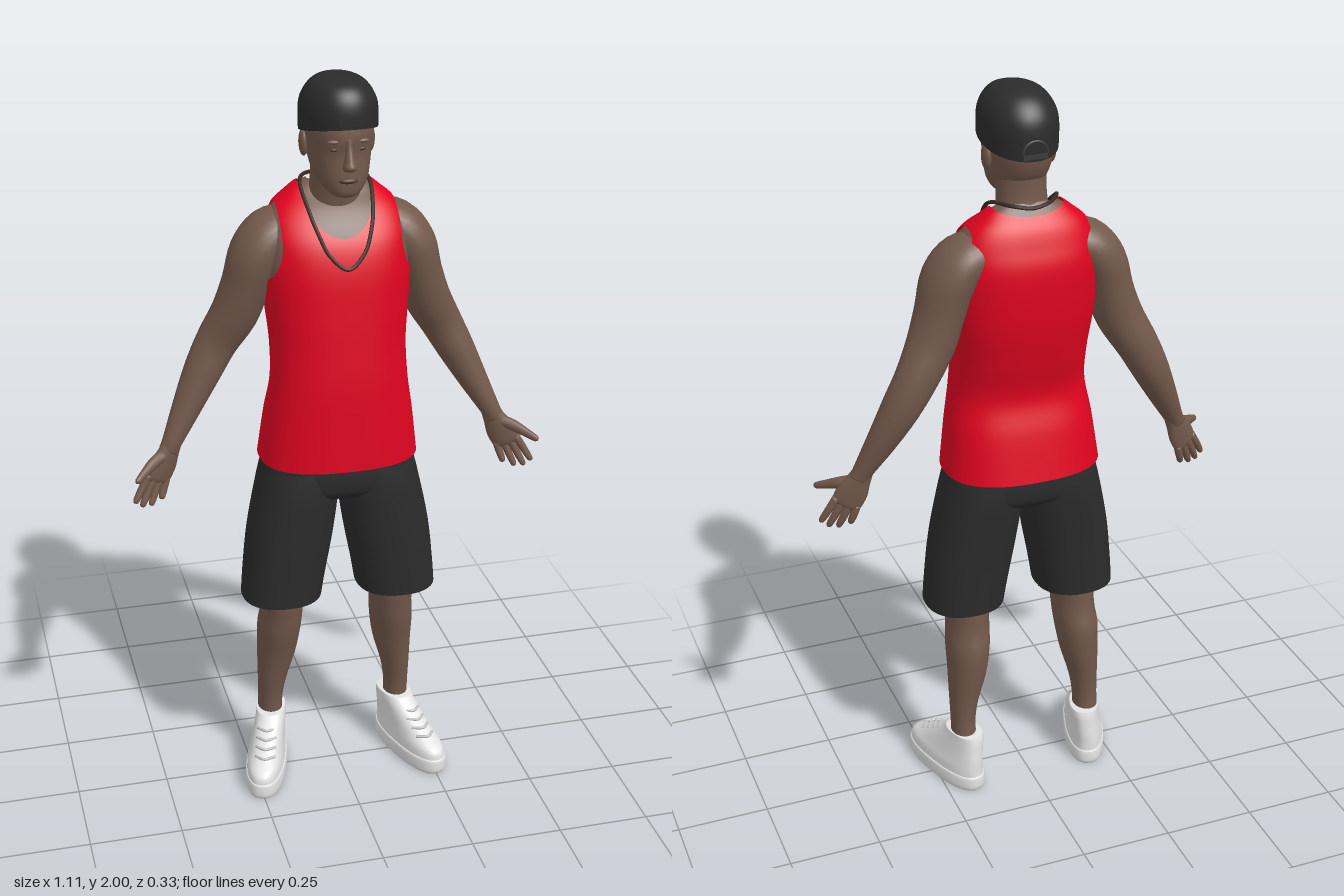
import * as THREE from 'three';

const mat = (name, color, side = THREE.FrontSide) => {
  const m = new THREE.MeshStandardMaterial({ color, side });
  m.name = name;
  return m;
};

// Smooth loft through sections [x, y, z, radiusU, radiusV].
// level: rings stay horizontal (list sections upwards); otherwise they follow the path, with U near w.
function loft(secs, { n = 28, k = 4, p = 2, level = true, w = [0, 0, 1], caps = true } = {}) {
  const rows = [], last = secs.length - 1;
  for (let i = 0; i < last; i++) {
    const [a, b, c, d] = [secs[Math.max(i - 1, 0)], secs[i], secs[i + 1], secs[Math.min(i + 2, last)]];
    for (let j = 0; j < k; j++) {
      const t = j / k;
      rows.push(b.map((v, q) => v + 0.5 * t * (c[q] - a[q] + t * (2 * a[q] - 5 * v + 4 * c[q] - d[q] + t * (3 * (v - c[q]) + d[q] - a[q])))));
    }
  }
  rows.push(secs[last]);
  const pos = [], idx = [], R = rows.length;
  const at = i => new THREE.Vector3(...rows[Math.min(Math.max(i, 0), R - 1)].slice(0, 3));
  const pow = v => Math.sign(v) * Math.abs(v) ** (2 / p);
  rows.forEach((r, i) => {
    const t = level ? new THREE.Vector3(0, 1, 0) : at(i + 1).sub(at(i - 1)).normalize();
    const u = level ? new THREE.Vector3(1, 0, 0) : new THREE.Vector3(...w);
    u.addScaledVector(t, -u.dot(t)).normalize();
    const v = t.clone().cross(u);
    for (let j = 0; j < n; j++) {
      const th = j / n * Math.PI * 2;
      pos.push(...at(i).addScaledVector(u, pow(Math.cos(th)) * r[3]).addScaledVector(v, pow(Math.sin(th)) * r[4]));
      if (i < R - 1) {
        const a = i * n + j, b = i * n + (j + 1) % n;
        idx.push(a, b, a + n, b, b + n, a + n);
      }
    }
  });
  if (caps) {
    const c = R * n, top = (R - 1) * n;
    pos.push(...at(0), ...at(R - 1));
    for (let j = 0; j < n; j++) {
      const q = (j + 1) % n;
      idx.push(c, q, j, c + 1, top + j, top + q);
    }
  }
  const g = new THREE.BufferGeometry();
  g.setAttribute('position', new THREE.Float32BufferAttribute(pos, 3));
  g.setIndex(idx);
  g.computeVertexNormals();
  return g;
}

// Keep the part of a geometry where f(x, y, z) > 0, pushed along its normals.
function clip(g, f, push = 0) {
  const P = g.attributes.position, N = g.attributes.normal, pos = [], nor = [];
  const verts = Array.from({ length: P.count }, (_, i) => {
    const a = [P.getX(i), P.getY(i), P.getZ(i)], b = [N.getX(i), N.getY(i), N.getZ(i)];
    return { v: [...a.map((c, q) => c + b[q] * push), ...b], f: f(...a) };
  });
  for (let i = 0; i < g.index.count; i += 3) {
    const tri = [0, 1, 2].map(j => verts[g.index.getX(i + j)]), poly = [];
    tri.forEach((a, j) => {
      const b = tri[(j + 1) % 3];
      if (a.f > 0) poly.push(a.v);
      if (a.f > 0 !== b.f > 0) poly.push(a.v.map((c, q) => c + (b.v[q] - c) * a.f / (a.f - b.f)));
    });
    for (let j = 1; j < poly.length - 1; j++)
      for (const c of [poly[0], poly[j], poly[j + 1]]) { pos.push(...c.slice(0, 3)); nor.push(...c.slice(3)); }
  }
  const out = new THREE.BufferGeometry();
  out.setAttribute('position', new THREE.Float32BufferAttribute(pos, 3));
  out.setAttribute('normal', new THREE.Float32BufferAttribute(nor, 3));
  return out;
}

function mirrored(g) {
  const m = g.clone().scale(-1, 1, 1), ix = m.index;
  for (let i = 0; i < ix.count; i += 3) {
    const a = ix.getX(i);
    ix.setX(i, ix.getX(i + 1));
    ix.setX(i + 1, a);
  }
  return m;
}

const blob = (x, y, z, sx, sy, sz) => new THREE.SphereGeometry(1, 16, 10).scale(sx, sy, sz).translate(x, y, z);
// [y, front z, back z, half width] to a section
const body = rows => rows.map(([y, f, b, rx]) => [0, y, (f + b) / 2, rx, (f - b) / 2]);

export function createModel() {
  const model = new THREE.Group();
  const skin = mat('skin', 0x73594b), dark = mat('darkSkin', 0x4d392f), red = mat('redCloth', 0xe00420, THREE.DoubleSide);
  const black = mat('blackCloth', 0x2b2b2b, THREE.DoubleSide), trim = mat('capTrim', 0x3a3a3a);
  const white = mat('whiteLeather', 0xe2e2e2), lace = mat('lace', 0xc4c4c4), cord = mat('cord', 0x3a2a22);
  const add = (name, g, m) => {
    const mesh = new THREE.Mesh(g, m);
    mesh.name = name;
    model.add(mesh);
  };
  const pair = (name, g, m) => {
    add(name + 'Left', g, m);
    add(name + 'Right', mirrored(g), m);
  };

  // Torso and tank top share one surface
  const torso = loft(body([
    [0.975, 0.143, -0.165, 0.213], [1.1, 0.14, -0.142, 0.197], [1.2, 0.137, -0.118, 0.181], [1.3, 0.13, -0.14, 0.178],
    [1.4, 0.122, -0.16, 0.187], [1.5, 0.112, -0.167, 0.195], [1.57, 0.095, -0.165, 0.195], [1.62, 0.068, -0.152, 0.185],
    [1.66, 0.035, -0.138, 0.16], [1.69, 0, -0.12, 0.125], [1.71, -0.02, -0.105, 0.1], [1.725, -0.035, -0.095, 0.07],
  ]), { n: 72, k: 6, p: 2.5, caps: false });
  add('torso', clip(torso, (x, y) => y - 1.15, -0.007), skin);
  add('tankTop', clip(torso, (x, y, z) => {
    const arm = Math.hypot((Math.abs(x) - 0.27) / (z < -0.1 ? 0.108 : 0.115), Math.min(y - 1.59, 0) / 0.15) - 1;
    const depth = THREE.MathUtils.lerp(0.03, 0.13, THREE.MathUtils.smoothstep(z, -0.11, 0));
    const neck = Math.hypot(x / 0.095, (1.725 - y) / depth) - 1;
    return Math.min(arm, neck);
  }), red);
  add('neck', loft([[0, 1.6, -0.05, 0.07, 0.06], [0, 1.68, -0.037, 0.068, 0.062], [0, 1.74, -0.025, 0.064, 0.064], [0, 1.82, -0.02, 0.064, 0.07]]), skin);

  // Cord necklace
  const half = [[0.045, 1.56, 0.101], [0.068, 1.61, 0.077], [0.083, 1.66, 0.037], [0.088, 1.72, -0.045], [0.05, 1.722, -0.1]];
  const loop = [[0, 1.525, 0.116], ...half, [0, 1.715, -0.112], ...half.map(([x, y, z]) => [-x, y, z]).reverse()];
  add('necklace', new THREE.TubeGeometry(new THREE.CatmullRomCurve3(loop.map(q => new THREE.Vector3(...q)), true), 90, 0.005, 8, true), cord);

  // Head and face
  add('head', loft(body([
    [1.708, 0.097, 0.04, 0.024], [1.72, 0.111, 0, 0.044], [1.75, 0.115, -0.05, 0.065], [1.78, 0.115, -0.088, 0.074],
    [1.82, 0.113, -0.108, 0.081], [1.86, 0.12, -0.115, 0.086], [1.9, 0.115, -0.113, 0.088], [1.94, 0.1, -0.1, 0.08],
  ]), { n: 40, p: 2.2 }), skin);
  add('nose', loft([[0, 1.783, 0.117, 0.014, 0.016], [0, 1.793, 0.124, 0.018, 0.022], [0, 1.81, 0.122, 0.013, 0.018],
    [0, 1.84, 0.115, 0.009, 0.013], [0, 1.862, 0.113, 0.009, 0.01]], { n: 16 }), skin);
  add('lips', blob(0, 1.755, 0.109, 0.025, 0.008, 0.011), dark);
  pair('eye', blob(0.032, 1.834, 0.105, 0.013, 0.005, 0.005), dark);
  pair('brow', blob(0.034, 1.855, 0.108, 0.02, 0.006, 0.008), skin);
  pair('ear', blob(0.086, 1.828, -0.008, 0.012, 0.036, 0.022).rotateY(0.02), skin);

  // Cap without a visible peak, lower at the back
  add('cap', clip(loft(body([
    [1.81, 0.124, -0.121, 0.094], [1.88, 0.127, -0.124, 0.098], [1.93, 0.127, -0.12, 0.096], [1.965, 0.115, -0.1, 0.081],
    [1.988, 0.088, -0.07, 0.058], [1.999, 0.04, -0.03, 0.024],
  ]), { n: 48, p: 2.1 }), (x, y, z) => y - 1.862 - 0.2 * z), black);
  add('capFrontTab', new THREE.BoxGeometry(0.06, 0.022, 0.008).translate(0, 1.908, 0.125), black);
  add('capBackArch', new THREE.TorusGeometry(0.032, 0.003, 6, 20, Math.PI).translate(0, 1.858, -0.123), trim);
  add('capBackStrap', new THREE.BoxGeometry(0.064, 0.012, 0.006).translate(0, 1.85, -0.122), trim);

  // Arms
  pair('arm', loft([
    [0.11, 1.6, -0.06, 0.07, 0.055], [0.165, 1.582, -0.055, 0.086, 0.065], [0.205, 1.53, -0.05, 0.09, 0.068],
    [0.231, 1.45, -0.055, 0.078, 0.063], [0.26, 1.37, -0.065, 0.067, 0.062], [0.305, 1.29, -0.08, 0.056, 0.056],
    [0.348, 1.21, -0.075, 0.053, 0.05], [0.395, 1.12, -0.058, 0.041, 0.039], [0.44, 1.035, -0.037, 0.027, 0.027],
    [0.452, 1.01, -0.034, 0.022, 0.026],
  ], { level: false }), skin);

  // Hands: palm, four fingers and a thumb
  const w = [0.85, 0.4, 0.34];
  pair('palm', loft([[0.432, 1.05, -0.039, 0.024, 0.022], [0.45, 1.01, -0.033, 0.03, 0.02], [0.468, 0.975, -0.028, 0.04, 0.018],
    [0.486, 0.94, -0.023, 0.039, 0.014], [0.491, 0.93, -0.022, 0.03, 0.009]], { level: false, w, n: 20 }), skin);
  [0.062, 0.082, 0.088, 0.08].forEach((len, i) => {
    const o = (i - 1.5) * 0.019, spread = (i - 1.5) * 0.006;
    const joint = (t, r) => [0.485 + w[0] * o + len * t * 0.42 + spread * t, 0.943 + w[1] * o - len * t * 0.9, -0.023 + w[2] * o + len * t * (0.08 + 0.12 * t), r, r];
    pair('finger' + (i + 1), loft([joint(0, 0.011), joint(0.5, 0.0105), joint(0.9, 0.0085), joint(1, 0.004)], { level: false, w, n: 12 }), skin);
  });
  pair('thumb', loft([[0.458, 1.005, -0.03, 0.015, 0.015], [0.495, 0.992, -0.006, 0.016, 0.015], [0.526, 0.978, 0.024, 0.012, 0.011],
    [0.546, 0.968, 0.045, 0.009, 0.008], [0.551, 0.965, 0.05, 0.004, 0.004]], { level: false, w: [0, 1, 0], n: 12 }), skin);

  // Shorts
  add('shortsWaist', loft([[0, 0.875, -0.008, 0.18, 0.1], [0, 0.9, -0.01, 0.212, 0.122], [0, 0.95, -0.01, 0.21, 0.127], [0, 1.02, -0.01, 0.198, 0.12]],
    { n: 48, p: 2.4 }), black);
  pair('shortsLeg', loft([[0.161, 0.567, 0, 0.109, 0.11], [0.152, 0.64, -0.001, 0.112, 0.113], [0.134, 0.76, -0.003, 0.116, 0.118],
    [0.112, 0.89, -0.008, 0.111, 0.124], [0.104, 0.96, -0.01, 0.102, 0.12]], { n: 36, p: 2.3, caps: false }), black);

  // Legs
  pair('leg', loft([[0.185, 0.12, -0.06, 0.035, 0.045], [0.185, 0.2, -0.053, 0.034, 0.043], [0.18, 0.27, -0.048, 0.04, 0.052],
    [0.168, 0.36, -0.043, 0.053, 0.069], [0.162, 0.44, -0.033, 0.059, 0.083], [0.157, 0.5, -0.02, 0.058, 0.082],
    [0.155, 0.57, -0.012, 0.06, 0.086], [0.14, 0.78, 0, 0.072, 0.09]]), skin);

  // Shoes, toes turned out
  const place = g => g.rotateY(0.3).translate(0.213, 0, 0.015);
  const shoe = { n: 40, p: 2.4 };
  pair('shoeSole', place(loft([[0, 0, 0, 0.054, 0.15], [0, 0.012, 0, 0.057, 0.155], [0, 0.04, 0, 0.056, 0.154], [0, 0.044, 0, 0.05, 0.148]], shoe)), white);
  pair('shoeUpper', place(loft([[0, 0.035, 0, 0.053, 0.15], [0, 0.065, -0.003, 0.051, 0.146], [-0.002, 0.09, -0.024, 0.047, 0.124],
    [-0.005, 0.12, -0.047, 0.044, 0.098], [-0.008, 0.15, -0.068, 0.042, 0.074], [-0.008, 0.168, -0.077, 0.04, 0.06]], shoe)), white);
  for (let i = 0; i < 4; i++) {
    const y = 0.093 + i * 0.015, z = 0.097 - i * 0.025;
    pair('lace' + (i + 1), place(loft([[-0.031, y, z - 0.018, 0.004, 0.004], [-0.004, y + 0.003, z + 0.002, 0.004, 0.004],
      [0.023, y, z - 0.018, 0.004, 0.004]], { level: false, w: [0, 1, 0], n: 8 })), lace);
  }
  return model;
}
